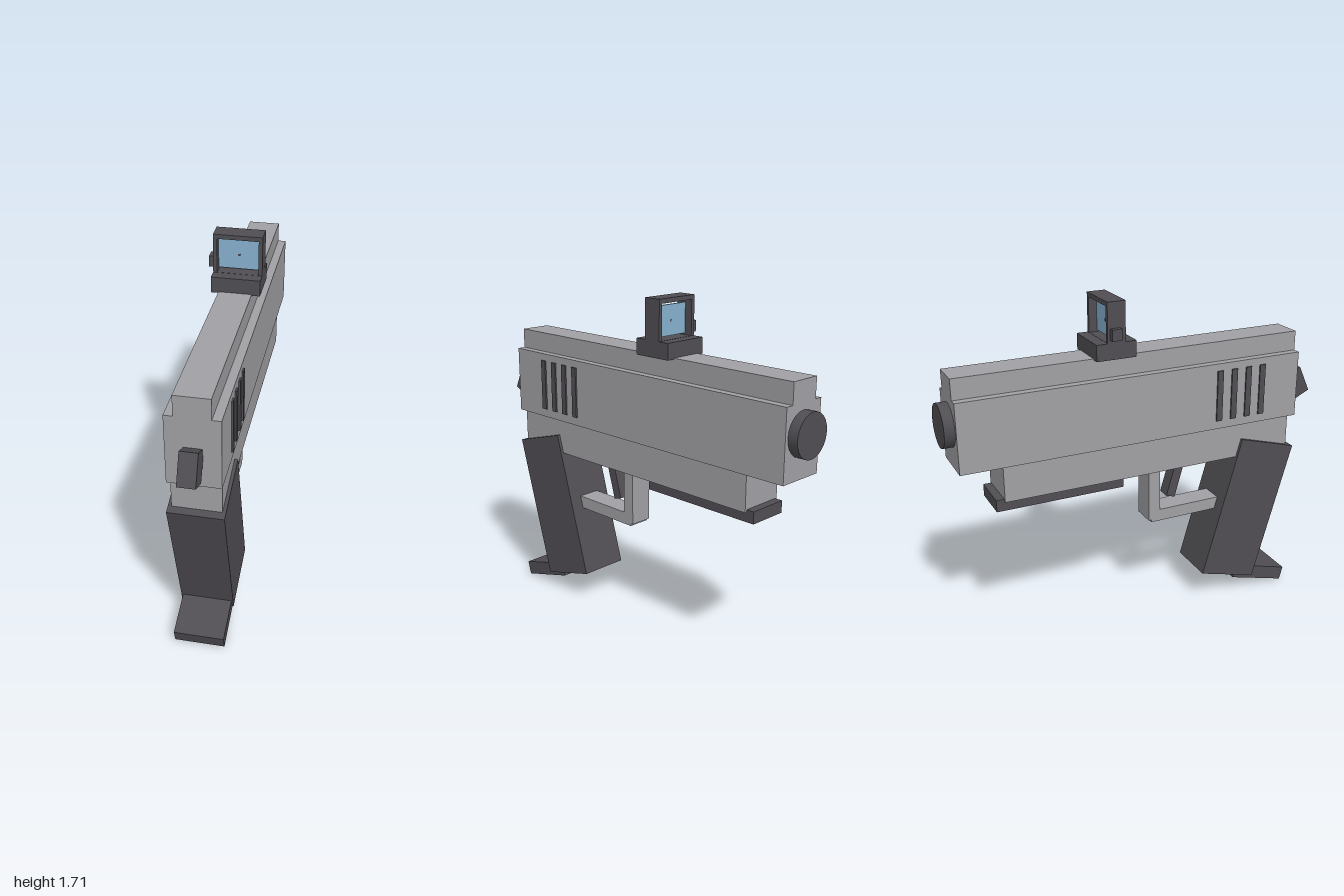
import * as THREE from 'three';

const CX = 0.003; // centre line of the body

export function createModel() {
  const model = new THREE.Group();
  model.name = 'toyBlaster';

  const mat = (name, color) => {
    const m = new THREE.MeshStandardMaterial({ color });
    m.name = name;
    return m;
  };
  const steel = mat('lightSteel', 0xa1a1a5);
  const dark = mat('darkPolymer', 0x504e53);
  const glass = mat('blueGlass', 0x88b2d0);

  const add = (name, geometry, material, x, y, z, tilt = 0) => {
    const mesh = new THREE.Mesh(geometry, material);
    mesh.name = name;
    mesh.position.set(x, y, z);
    mesh.rotation.x = tilt;
    model.add(mesh);
    return mesh;
  };
  // box given by its size, centre and lean about x
  const box = (name, material, w, h, d, y, z, tilt = 0, x = CX) =>
    add(name, new THREE.BoxGeometry(w, h, d), material, x, y, z, tilt);
  // box given by its y and z ranges
  const span = (name, material, w, y0, y1, z0, z1, x = CX) =>
    box(name, material, w, y1 - y0, z1 - z0, (y0 + y1) / 2, (z0 + z1) / 2, 0, x);

  // Slide, top rib and lower frame
  span('slide', steel, 0.244, 1.0, 1.345, -0.95, 0.86);
  span('topRib', steel, 0.162, 1.345, 1.446, -0.95, 0.86);
  span('frame', steel, 0.228, 0.82, 1.0, -0.745, 0.82);
  span('underRail', dark, 0.206, 0.773, 0.833, -0.785, -0.13);

  // Grip ribs on both sides of the slide
  for (const side of [-1, 1]) {
    for (const z of [0.641, 0.559, 0.477, 0.395]) {
      span('slideSerration', dark, 0.012, 1.044, 1.308, z - 0.016, z + 0.016, CX + side * 0.124);
    }
  }

  // Muzzle disc
  const muzzle = new THREE.CylinderGeometry(0.106, 0.106, 0.06, 24);
  muzzle.rotateX(Math.PI / 2);
  add('muzzle', muzzle, dark, CX, 1.207, -0.97);

  // Hammer
  box('hammer', dark, 0.082, 0.15, 0.108, 1.14, 0.918, -0.44);

  // Slanted handle with its foot plate
  const LEAN = 0.279;
  box('handle', dark, 0.26, 0.776, 0.329, 0.499, 0.59, LEAN);
  box('footPlate', dark, 0.244, 0.073, 0.325, 0.084, 0.689, LEAN);

  // Trigger and guard
  box('trigger', dark, 0.07, 0.175, 0.05, 0.712, 0.195, LEAN);
  span('guardPost', steel, 0.12, 0.527, 0.83, 0.032, 0.096);
  span('guardBar', steel, 0.12, 0.514, 0.578, 0.047, 0.5);

  // Sight: base, hollow frame, lens, aiming dot and side knob
  const SX = 0.005;
  span('sightBase', dark, 0.238, 1.44, 1.52, -0.268, -0.064, SX);
  const outline = new THREE.Shape([
    new THREE.Vector2(-0.119, 1.515), new THREE.Vector2(0.119, 1.515),
    new THREE.Vector2(0.119, 1.715), new THREE.Vector2(-0.119, 1.715),
  ]);
  outline.holes.push(new THREE.Path([
    new THREE.Vector2(-0.1, 1.521), new THREE.Vector2(-0.1, 1.693),
    new THREE.Vector2(0.1, 1.693), new THREE.Vector2(0.1, 1.521),
  ]));
  const hood = new THREE.ExtrudeGeometry(outline, { depth: 0.092, bevelEnabled: false });
  add('sightHood', hood, dark, SX, 0, -0.212);
  span('sightLens', glass, 0.2, 1.53, 1.677, -0.171, -0.161, SX);
  span('aimingDot', dark, 0.01, 1.596, 1.606, -0.173, -0.159, SX);
  span('sightKnob', dark, 0.03, 1.535, 1.59, -0.2, -0.148, -0.125);

  return model;
}
